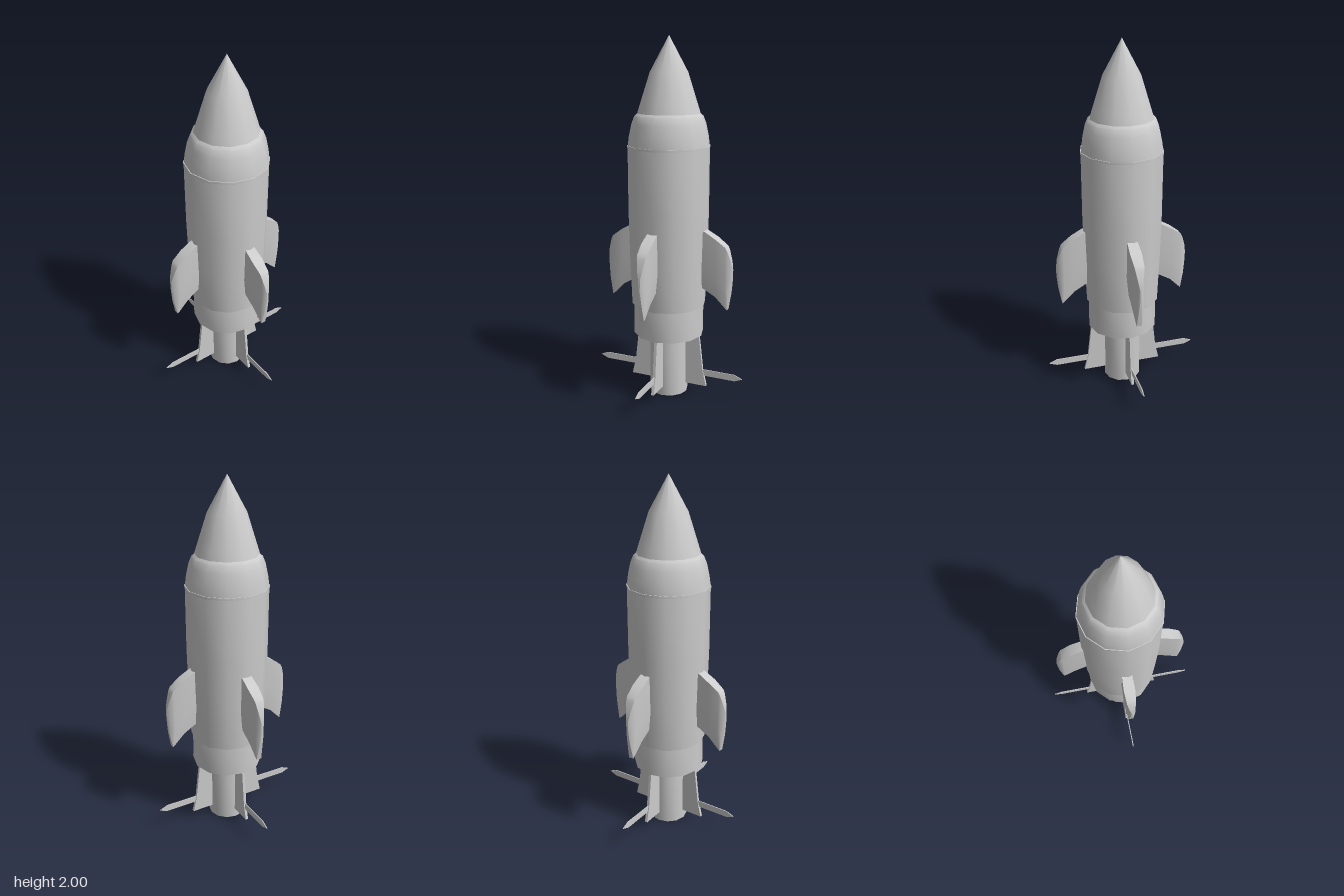
import * as THREE from 'three';
import { toCreasedNormals } from 'three/addons/utils/BufferGeometryUtils.js';

const material = new THREE.MeshStandardMaterial({ color: 0xcccccc, side: THREE.DoubleSide });

function addPart(parent, name, geometry) {
  const mesh = new THREE.Mesh(geometry, material);
  mesh.name = name;
  parent.add(mesh);
  return mesh;
}

// Twelve-sided turned part; profile runs from bottom to top as [radius, y]
function turned(profile) {
  const points = profile.map(([r, y]) => new THREE.Vector2(r, y));
  return toCreasedNormals(new THREE.LatheGeometry(points, 12), 0.6);
}

// Thin plate in the xy plane, centred on z = 0
function plate(outline, depth) {
  const shape = new THREE.Shape(outline.map(([x, y]) => new THREE.Vector2(x, y)));
  const geometry = new THREE.ExtrudeGeometry(shape, { depth, bevelEnabled: false });
  return geometry.translate(0, 0, -depth / 2);
}

// Swept fin lofted outward from six-sided sections: [x, top, bottom, half thickness]
function sweptFin() {
  const stations = [
    [0.17, 0.985, 0.66, 0.028],
    [0.222, 0.968, 0.638, 0.029],
    [0.285, 0.932, 0.603, 0.032],
    [0.342, 0.89, 0.545, 0.027],
    [0.353, 0.868, 0.534, 0.024],
    [0.371, 0.81, 0.63, 0.014],
    [0.379, 0.765, 0.71, 0.005],
  ];
  const positions = [], index = [], n = 6;
  for (const [x, top, bottom, h] of stations) {
    const mid = bottom + (top - bottom) * 0.35;
    positions.push(x, top, h, x, mid, h, x, bottom, h * 0.6,
      x, bottom, -h * 0.6, x, mid, -h, x, top, -h);
  }
  for (let s = 0; s < stations.length - 1; s++) {
    for (let i = 0; i < n; i++) {
      const a = s * n + i, b = s * n + (i + 1) % n;
      index.push(a, b, a + n, b, b + n, a + n);
    }
  }
  // Close the outer edge
  const last = (stations.length - 1) * n;
  for (let i = 1; i < n - 1; i++) index.push(last, last + i, last + i + 1);
  const geometry = new THREE.BufferGeometry();
  geometry.setAttribute('position', new THREE.Float32BufferAttribute(positions, 3));
  geometry.setIndex(index);
  return toCreasedNormals(geometry, 0.5);
}

export function createModel() {
  const rocket = new THREE.Group();
  rocket.name = 'rocket';

  // Hull, from nozzle to nose
  addPart(rocket, 'nozzle', turned([
    [0, 0.06], [0.09, 0.06], [0.09, 0], [0.108, 0], [0.108, 0.4],
  ]));
  addPart(rocket, 'collar', turned([
    [0.1, 0.385], [0.182, 0.385], [0.182, 0.355], [0.198, 0.355], [0.198, 0.54],
  ]));
  addPart(rocket, 'body', turned([
    [0.19, 0.53], [0.208, 0.53], [0.218, 0.8], [0.224, 1.05], [0.225, 1.41],
  ]));
  addPart(rocket, 'seamRing', turned([
    [0.215, 1.41], [0.228, 1.41], [0.228, 1.422], [0.215, 1.422],
  ]));
  addPart(rocket, 'shoulder', turned([
    [0.224, 1.42], [0.217, 1.475], [0.203, 1.54], [0.187, 1.58], [0.17, 1.595],
  ]));
  addPart(rocket, 'noseCone', turned([
    [0.176, 1.58], [0.157, 1.64], [0.103, 1.81], [0, 2],
  ]));

  // Four sets of fins around the hull
  const finGeometry = sweptFin();
  const tailGeometry = plate([
    [0.09, 0.055], [0.232, 0.055], [0.21, 0.15], [0.183, 0.385], [0.09, 0.385],
  ], 0.016);
  const spikeGeometry = plate([
    [0.2, 0.115], [0.4, 0.115], [0.445, 0.133], [0.4, 0.152], [0.2, 0.152],
  ], 0.005);
  for (let i = 0; i < 4; i++) {
    const finSet = new THREE.Group();
    finSet.name = 'finSet';
    addPart(finSet, 'sweptFin', finGeometry).position.z = 0.004;
    addPart(finSet, 'tailFin', tailGeometry);
    addPart(finSet, 'tailSpike', spikeGeometry);
    finSet.rotation.y = i * Math.PI / 2;
    rocket.add(finSet);
  }
  return rocket;
}
